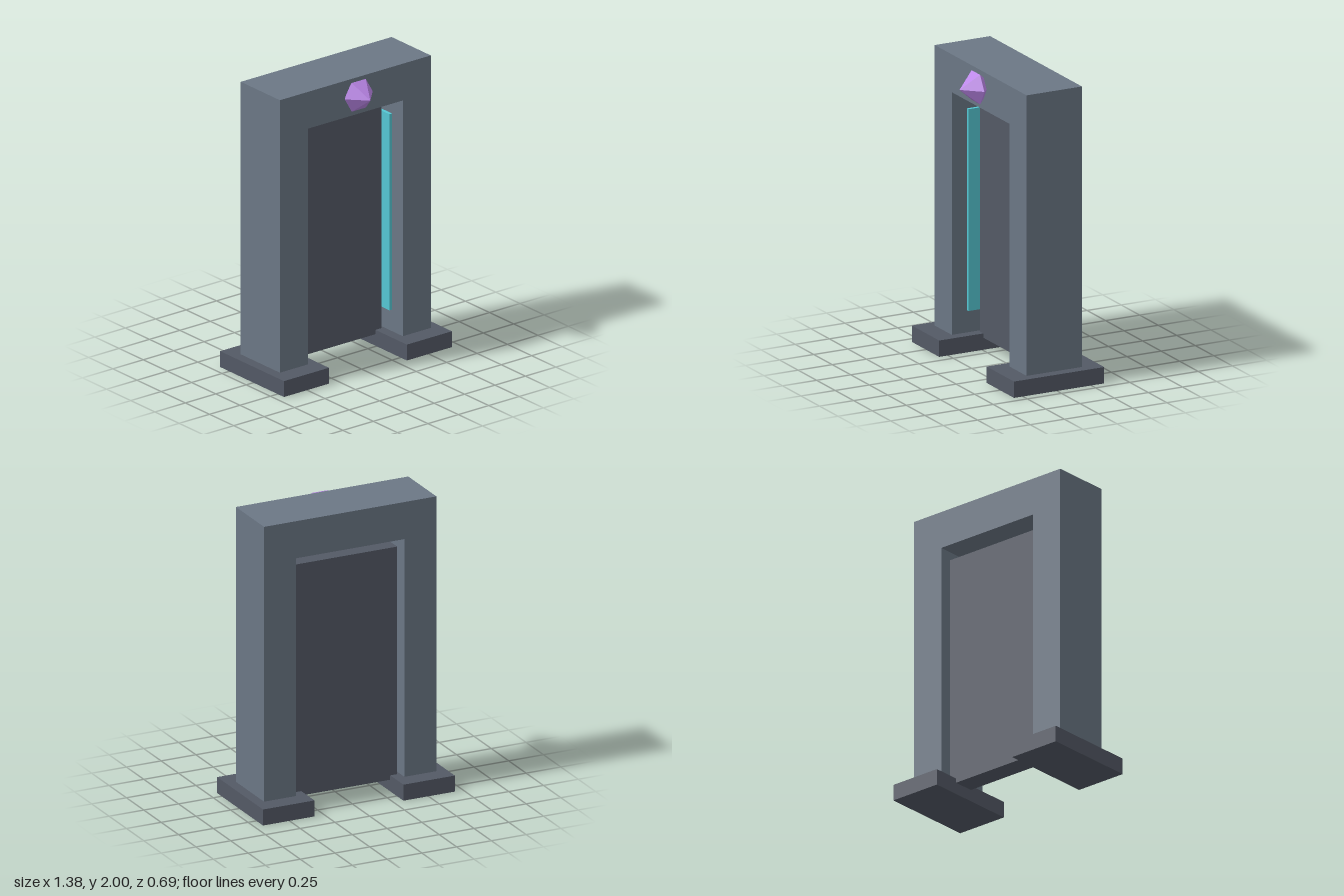
import * as THREE from 'three';

const mat = (color) => new THREE.MeshStandardMaterial({ color, flatShading: true });

// Box given by its lower and upper limits on each axis
function block(name, material, [x0, x1], [y0, y1], [z0, z1]) {
  const mesh = new THREE.Mesh(new THREE.BoxGeometry(x1 - x0, y1 - y0, z1 - z0), material);
  mesh.position.set((x0 + x1) / 2, (y0 + y1) / 2, (z0 + z1) / 2);
  mesh.name = name;
  return mesh;
}

export function createModel() {
  const group = new THREE.Group();
  group.name = 'doorway';
  const stone = mat(0x6b7785);
  const darkStone = mat(0x535965);
  const glow = mat(0x55c8d4);
  const crystal = mat(0xbb86e8);

  // Door frame: two pillars and a lintel as one arch-shaped outline
  const outline = new THREE.Shape([
    [-0.62, 0.11], [-0.39, 0.11], [-0.39, 1.745], [0.39, 1.745],
    [0.39, 0.11], [0.62, 0.11], [0.62, 2], [-0.62, 2],
  ].map(([x, y]) => new THREE.Vector2(x, y)));
  const frame = new THREE.Mesh(
    new THREE.ExtrudeGeometry(outline, { depth: 0.405, bevelEnabled: false }), stone);
  frame.position.z = -0.22;
  frame.name = 'frame';
  group.add(frame);

  // Door slab, set back in the opening
  group.add(block('door', darkStone, [-0.37, 0.37], [0.08, 1.675], [-0.155, -0.01]));

  // Plinths and light strips on both sides
  for (const [side, s] of [['left', 1], ['right', -1]]) {
    const span = (a, b) => (s > 0 ? [a, b] : [-b, -a]);
    group.add(block(side + 'Plinth', darkStone, span(0.32, 0.69), [0, 0.11], [-0.345, 0.315]));
    group.add(block(side + 'LightStrip', glow, span(0.368, 0.39), [0.26, 1.62], [-0.11, 0.075]));
  }

  // Six-sided double-pointed gem, half sunk into the lintel
  const gem = new THREE.Group();
  gem.name = 'gem';
  for (const s of [1, -1]) {
    const point = new THREE.Mesh(new THREE.ConeGeometry(0.115, 0.12, 6, 1, true, Math.PI / 2), crystal);
    point.rotation.x = s * Math.PI / 2;
    point.position.z = s * 0.06;
    point.name = s > 0 ? 'gemFront' : 'gemBack';
    gem.add(point);
  }
  gem.position.set(0, 1.89, 0.22);
  group.add(gem);

  return group;
}
